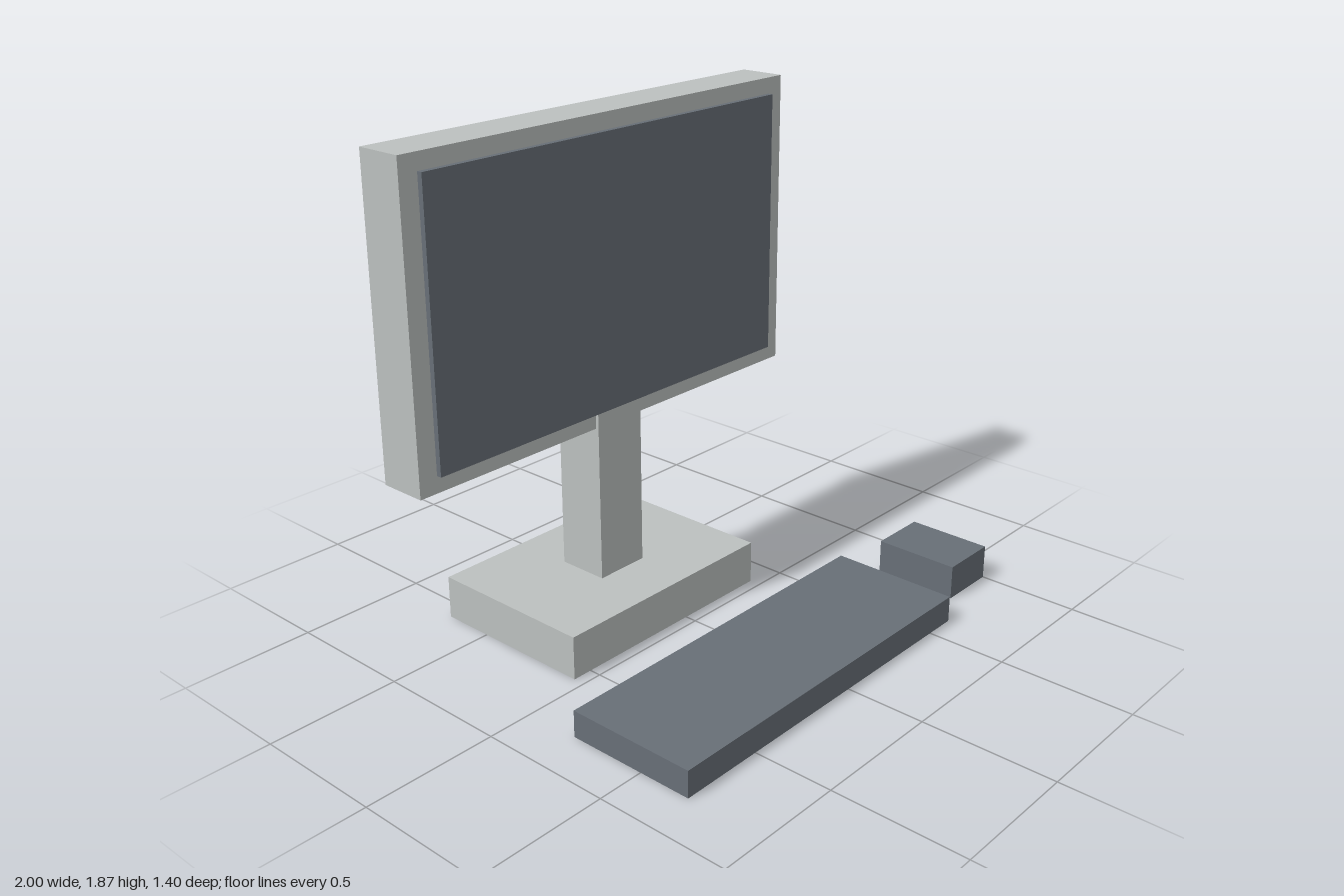
import * as THREE from 'three';

export function createModel() {
  const group = new THREE.Group();
  const lightGrey = new THREE.MeshStandardMaterial({ color: 0xbcc0bf });
  lightGrey.name = 'lightGrey';
  const darkGrey = new THREE.MeshStandardMaterial({ color: 0x686f77 });
  darkGrey.name = 'darkGrey';

  // Box given by its extents along each axis
  function box(name, material, [x0, x1], [y0, y1], [z0, z1]) {
    const mesh = new THREE.Mesh(new THREE.BoxGeometry(x1 - x0, y1 - y0, z1 - z0), material);
    mesh.position.set((x0 + x1) / 2, (y0 + y1) / 2, (z0 + z1) / 2);
    mesh.name = name;
    group.add(mesh);
  }

  // Monitor
  box('monitorCase', lightGrey, [-1, 0.8], [0.757, 1.872], [-0.46, -0.282]);
  box('screen', darkGrey, [-0.928, 0.728], [0.818, 1.812], [-0.29, -0.262]);

  // Stand
  box('standPost', lightGrey, [-0.21, 0.005], [0.15, 0.82], [-0.469, -0.27]);
  box('standBase', lightGrey, [-0.578, 0.374], [0, 0.165], [-0.7, -0.044]);

  // Desk accessories
  box('keyboard', darkGrey, [-0.822, 0.62], [0, 0.1], [0.205, 0.7]);
  box('mouse', darkGrey, [0.77, 1], [0, 0.132], [0.285, 0.613]);

  return group;
}
